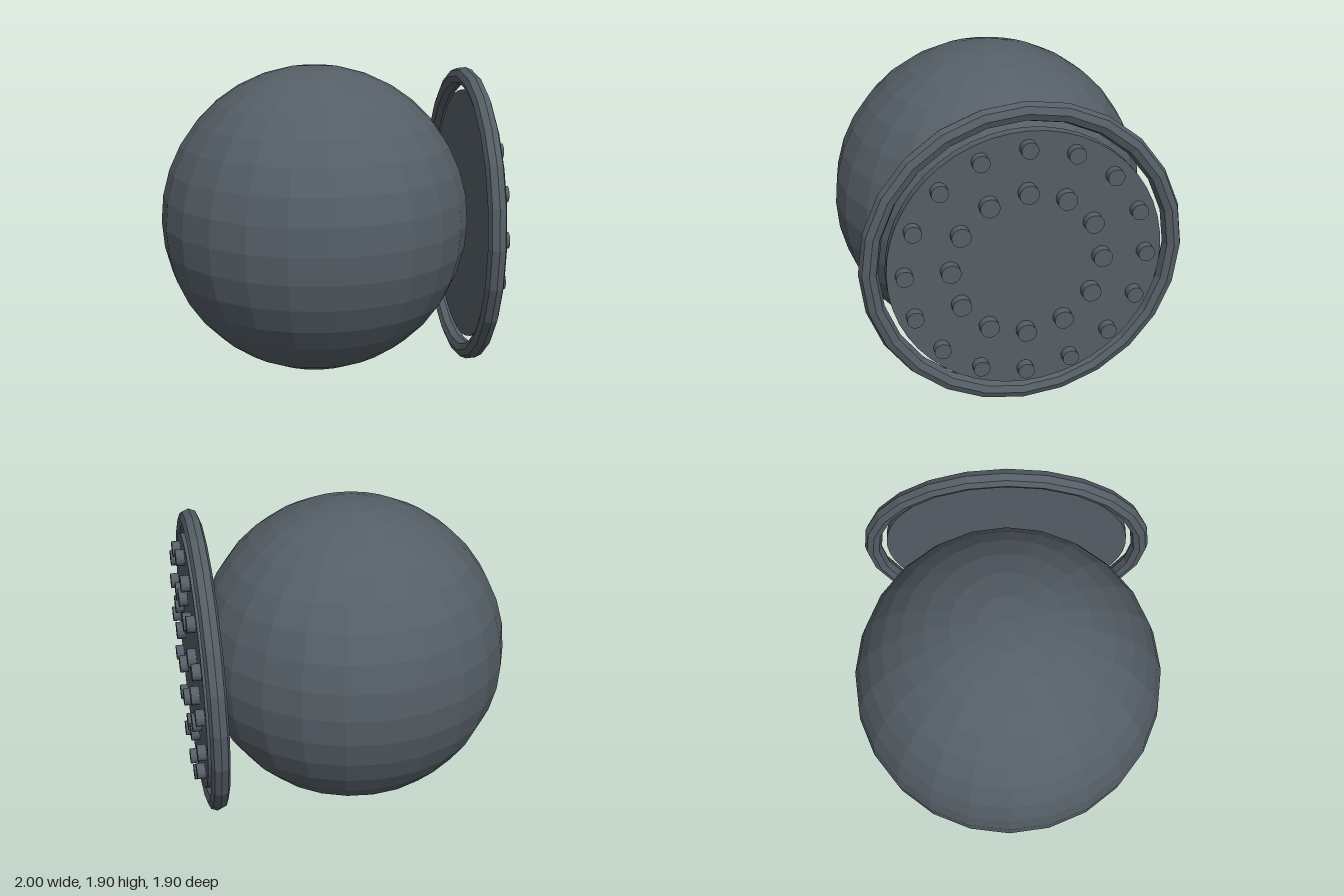
import * as THREE from 'three';

export function createModel() {
  const model = new THREE.Group();
  const slate = new THREE.MeshStandardMaterial({ color: 0x555e66, flatShading: true });
  slate.name = 'slate grey';
  const cy = 0.95; // height of the shared axis

  const add = (name, geometry, x, y = cy, z = 0) => {
    const mesh = new THREE.Mesh(geometry, slate);
    mesh.name = name;
    mesh.position.set(x, y, z);
    model.add(mesh);
  };
  // Cylinder lying along x
  const disc = (radius, depth, sides) =>
    new THREE.CylinderGeometry(radius, radius, depth, sides).rotateZ(-Math.PI / 2);

  // Faceted ball
  add('ball', new THREE.SphereGeometry(0.95, 24, 18), -0.05);

  // Open rim around the plate, on the left side of the ball
  add('rim', new THREE.TorusGeometry(0.87, 0.055, 8, 24).rotateY(Math.PI / 2), 0.888);

  // Round plate inside the rim
  add('plate', disc(0.78, 0.06, 48), 0.92);

  // Two circles of studs on the plate
  const studCircle = (name, count, distance, radius) => {
    const geometry = disc(radius, 0.05, 16);
    for (let i = 0; i < count; i++) {
      const a = (i / count) * Math.PI * 2;
      add(name, geometry, 0.975, cy + distance * Math.cos(a), distance * Math.sin(a));
    }
  };
  studCircle('outerStud', 16, 0.685, 0.048);
  studCircle('innerStud', 12, 0.43, 0.055);

  return model;
}
